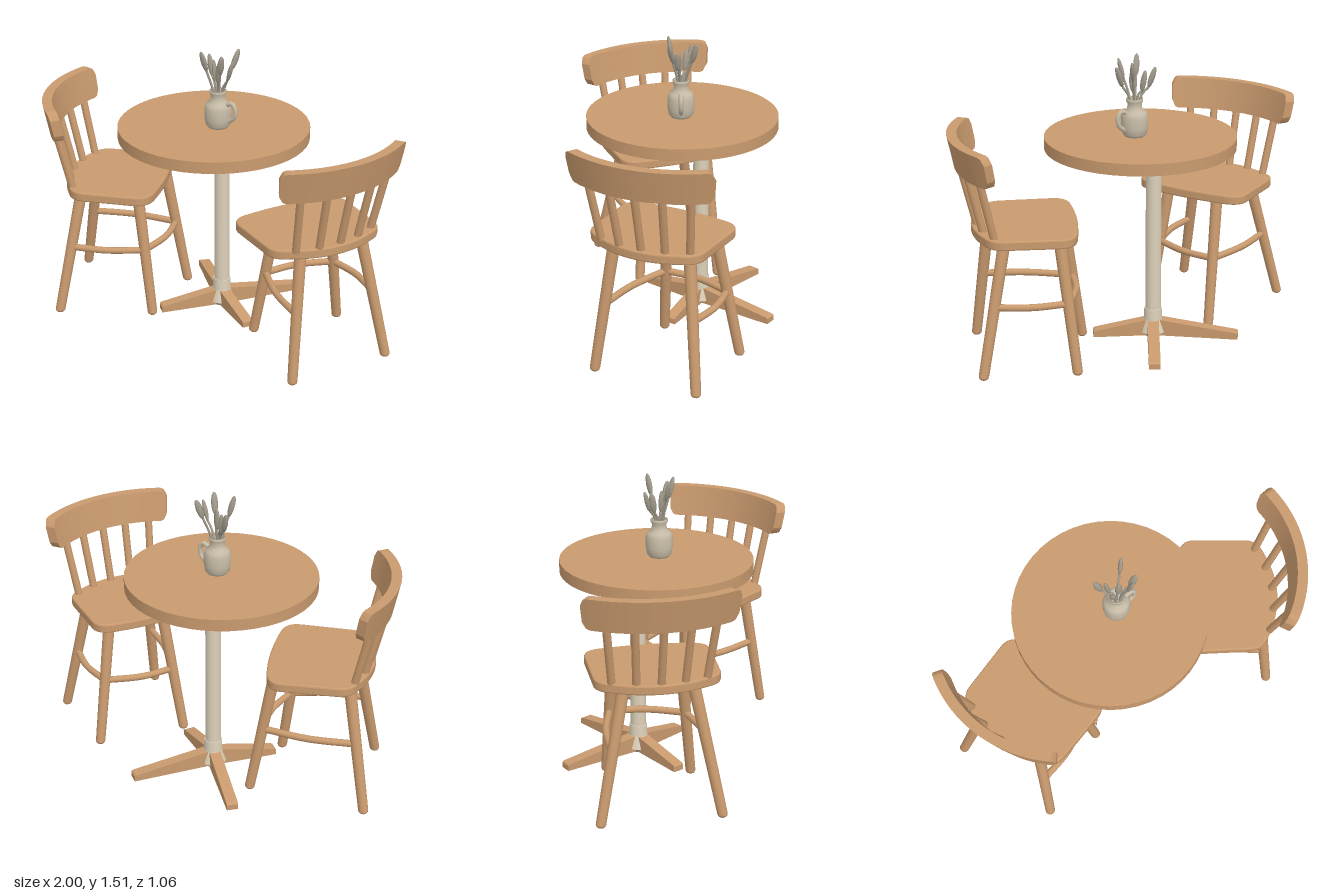
import * as THREE from 'three';

const mat = (name, hex) => Object.assign(new THREE.MeshStandardMaterial({ color: hex }), { name });
const wood = mat('wood', 0xc99a6e);
const cream = mat('cream', 0xdcd1ba);
const clay = mat('clay', 0xc8bda8);
const dried = mat('dried leaf', 0xa39c8d);
const steel = mat('steel', 0x77767a);

const V = (x, y, z) => new THREE.Vector3(x, y, z);

function add(parent, name, geometry, material, x = 0, y = 0, z = 0) {
  const m = new THREE.Mesh(geometry, material);
  m.name = name;
  m.position.set(x, y, z);
  parent.add(m);
  return m;
}

// Round bar between two points
function rod(parent, name, a, b, ra, rb) {
  const d = b.clone().sub(a);
  const m = add(parent, name, new THREE.CylinderGeometry(rb, ra, d.length(), 14), wood);
  m.position.copy(a).addScaledVector(d, 0.5);
  m.quaternion.setFromUnitVectors(V(0, 1, 0), d.normalize());
}

// Bent bar through a few points
function bent(parent, name, points, r, material) {
  add(parent, name, new THREE.TubeGeometry(new THREE.CatmullRomCurve3(points), 16, r, 10), material);
}

// Rounded seat: straight front, bowed rear
function seatGeometry() {
  const s = new THREE.Shape();
  s.moveTo(0.13, -0.312);
  s.quadraticCurveTo(0.205, -0.312, 0.215, -0.22);
  s.quadraticCurveTo(0.245, 0, 0.215, 0.22);
  s.quadraticCurveTo(0.205, 0.312, 0.13, 0.312);
  s.lineTo(-0.15, 0.305);
  s.quadraticCurveTo(-0.21, 0.3, -0.235, 0.235);
  s.quadraticCurveTo(-0.355, 0, -0.235, -0.235);
  s.quadraticCurveTo(-0.21, -0.3, -0.15, -0.305);
  s.closePath();
  return new THREE.ExtrudeGeometry(s, {
    depth: 0.034, bevelThickness: 0.008, bevelSize: 0.008, bevelSegments: 2, curveSegments: 12,
  }).rotateX(-Math.PI / 2);
}

// Curved, leaning back board bent from a box, with rounded corners
const ARC_X = 0.285;
function backGeometry() {
  const half = 0.595, h = 0.083, r = 0.04;
  const g = new THREE.BoxGeometry(2, 2, 0.052, 48, 4, 1);
  const p = g.attributes.position;
  for (let i = 0; i < p.count; i++) {
    const u = p.getX(i), v = p.getY(i), t = p.getZ(i);
    const end = Math.min(r, (1 - Math.abs(u)) * half * 0.65);
    const y = v * (h - r + Math.sqrt(r * r - (r - end) ** 2));
    const R = 0.65 + y * 0.2 + t;
    p.setXYZ(i, ARC_X - R * Math.cos(u * half), y, R * Math.sin(u * half));
  }
  g.computeVertexNormals();
  return g;
}

// Chair facing its own +x; each leg is [topX, topZ, footX, footZ]
function chair(name, rearLegs, frontLegs, seatTurn) {
  const g = new THREE.Group();
  g.name = name;
  add(g, 'seat', seatGeometry(), wood, 0, 0.688, 0).rotation.y = seatTurn;
  add(g, 'backBoard', backGeometry(), wood, 0, 1.108, 0);

  for (let i = -2; i <= 2; i++) {
    const a = i * 0.215;
    const at = (R, y) => V(ARC_X - R * Math.cos(a), y, R * Math.sin(a));
    rod(g, 'backSpindle', at(0.558, 0.72), at(0.638, 1.06), 0.02, 0.02);
  }

  for (const [list, label] of [[rearLegs, 'rearLeg'], [frontLegs, 'frontLeg']]) {
    for (const [tx, tz, fx, fz] of list) {
      rod(g, label, V(fx, 0.02, fz), V(tx, 0.69, tz), 0.026, 0.031);
      const tip = add(g, label + 'Tip', new THREE.SphereGeometry(0.026, 14, 8), wood, fx, 0.02, fz);
      tip.scale.y = 0.75;
    }
  }

  // Side and front stretchers
  const mid = ([tx, tz, fx, fz]) => V(fx + (tx - fx) * 0.52, 0.37, fz + (tz - fz) * 0.52);
  const front = frontLegs.map(mid), rear = rearLegs.map(mid);
  front.forEach((f, i) => {
    const m = f.clone().lerp(rear[i], 0.5);
    m.z += i ? 0.025 : -0.025;
    bent(g, 'sideStretcher', [rear[i], m, f], 0.018, wood);
  });
  const bow = front[0].clone().lerp(front[1], 0.5);
  bow.x += 0.03;
  bent(g, 'frontStretcher', [front[0], bow, front[1]], 0.018, wood);
  return g;
}

function table() {
  const g = new THREE.Group();
  g.name = 'table';
  add(g, 'tabletop', new THREE.CylinderGeometry(0.501, 0.501, 0.062, 48), wood, -0.051, 1.06, -0.038);
  const hx = -0.065, hz = -0.137;
  add(g, 'column', new THREE.CylinderGeometry(0.041, 0.042, 0.93, 16), cream, hx, 0.57, hz);
  add(g, 'hub', new THREE.CylinderGeometry(0.047, 0.05, 0.06, 16), cream, hx, 0.12, hz);
  add(g, 'hubFlare', new THREE.CylinderGeometry(0.05, 0.07, 0.07, 16), cream, hx, 0.055, hz);
  add(g, 'hubPlate', new THREE.CylinderGeometry(0.05, 0.05, 0.02, 16), steel, hx, 0.0095, hz);

  // Four tapering feet
  for (const [dx, dz] of [[-0.33, -0.315], [0.265, -0.37], [0.275, 0.165], [-0.22, 0.27]]) {
    const L = Math.hypot(dx, dz);
    const s = new THREE.Shape([[0.02, 0], [L, 0], [L, 0.03], [L - 0.01, 0.036], [0.02, 0.092]]
      .map(([x, y]) => new THREE.Vector2(x, y)));
    const geo = new THREE.ExtrudeGeometry(s, { depth: 0.06, bevelEnabled: false }).translate(0, 0, -0.03);
    add(g, 'tableFoot', geo, wood, hx, 0, hz).rotation.y = Math.atan2(-dz, dx);
  }
  return g;
}

function vase() {
  const g = new THREE.Group();
  g.name = 'vase';
  const profile = [[0, 0], [0.052, 0], [0.064, 0.015], [0.07, 0.05], [0.07, 0.105], [0.06, 0.13], [0.04, 0.145],
    [0.037, 0.175], [0.044, 0.185], [0.044, 0.2], [0.036, 0.2], [0.033, 0.15], [0, 0.14]];
  add(g, 'jug', new THREE.LatheGeometry(profile.map(([x, y]) => new THREE.Vector2(x, y)), 24), clay);
  bent(g, 'jugHandle', [V(0.055, 0.13, 0), V(0.085, 0.142, 0), V(0.105, 0.115, 0), V(0.1, 0.07, 0),
    V(0.065, 0.04, 0)], 0.012, clay);

  // Sprigs: [tip x, tip height, tip z]
  const tips = [[-0.09, 0.36, -0.055], [0.075, 0.41, -0.08], [0.1, 0.37, 0.02], [-0.06, 0.41, 0.065],
    [0.06, 0.405, 0.06], [-0.045, 0.34, -0.03], [0.01, 0.34, 0.01]];
  tips.forEach(([x, y, z], i) => {
    const base = V(x * 0.2, 0.15, z * 0.2), joint = V(x * 0.68, y - 0.1, z * 0.68), tip = V(x, y, z);
    bent(g, 'stem', [base, V(x * 0.35, 0.22, z * 0.35), joint], 0.006, dried);
    const leaf = add(g, 'leaf', new THREE.SphereGeometry(1, 8, 8), dried);
    leaf.position.copy(joint).lerp(tip, 0.5);
    leaf.scale.set(0.018, 0.058, 0.012);
    leaf.quaternion.setFromUnitVectors(V(0, 1, 0), tip.clone().sub(joint).normalize());
    leaf.rotateY(i);
  });
  g.position.set(-0.02, 1.09, -0.03);
  return g;
}

export function createModel() {
  const model = new THREE.Group();
  model.name = 'bistroSet';
  const turn = Math.PI / 8;

  const rightChair = chair('rightChair',
    [[-0.19, -0.17, -0.305, -0.305], [-0.19, 0.17, -0.3, 0.3]],
    [[0.19, -0.17, 0.305, -0.195], [0.115, 0.165, 0.2, 0.235]], 0);
  rightChair.position.set(-0.572, 0, 0.058);
  rightChair.rotation.y = turn;

  const leftChair = chair('leftChair',
    [[-0.19, -0.18, -0.26, -0.265], [-0.17, 0.21, -0.305, 0.298]],
    [[0.18, -0.055, 0.285, -0.115], [0.105, 0.235, 0.165, 0.35]], -0.12);
  leftChair.position.set(0.572, 0, 0.058);
  leftChair.rotation.y = Math.PI - turn;

  model.add(table(), vase(), rightChair, leftChair);
  return model;
}
